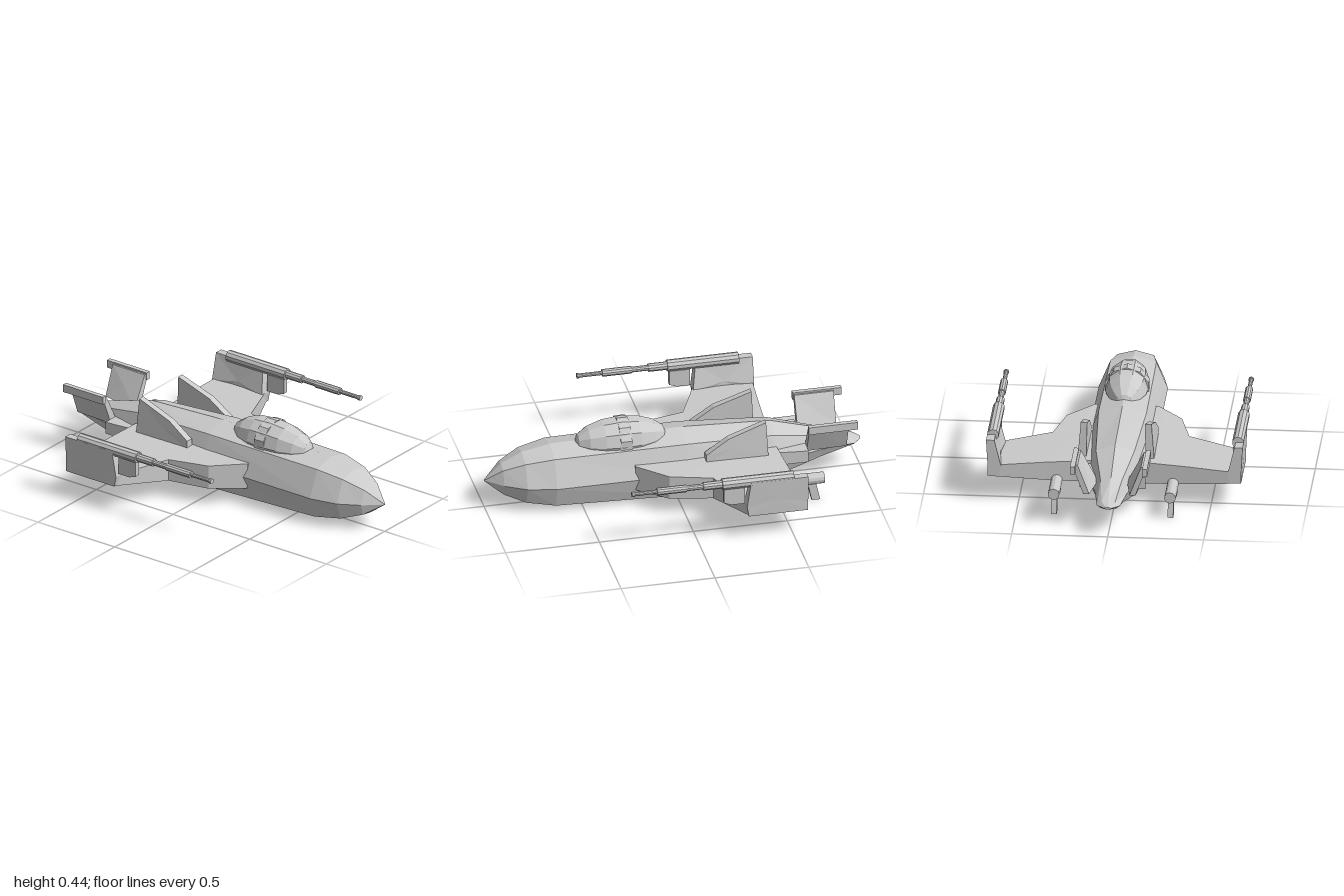
import * as THREE from 'three';

const material = new THREE.MeshStandardMaterial({
  color: 0xcccccc, flatShading: true, side: THREE.DoubleSide });

// Skin a row of equal-length rings of [x, y, z]; both ends are closed with a fan.
function loft(rings) {
  const tris = [];
  const n = rings[0].length;
  for (let r = 0; r < rings.length - 1; r++) {
    for (let i = 0; i < n; i++) {
      const j = (i + 1) % n;
      const a = rings[r][i], b = rings[r][j], c = rings[r + 1][j], d = rings[r + 1][i];
      tris.push([a, b, c], [a, c, d]);
    }
  }
  [rings[0], rings[rings.length - 1]].forEach((ring, end) => {
    const mid = [0, 1, 2].map((k) => ring.reduce((s, p) => s + p[k], 0) / n);
    for (let i = 0; i < n; i++) {
      const a = ring[i], b = ring[(i + 1) % n];
      tris.push(end ? [mid, a, b] : [mid, b, a]);
    }
  });
  // Turn all faces outward, judged by the signed volume
  let volume = 0;
  for (const [a, b, c] of tris) {
    volume += new THREE.Vector3(...a).dot(
      new THREE.Vector3(...b).cross(new THREE.Vector3(...c)));
  }
  if (volume < 0) tris.forEach((t) => t.reverse());
  const geometry = new THREE.BufferGeometry();
  geometry.setAttribute('position', new THREE.Float32BufferAttribute(tris.flat(2), 3));
  geometry.computeVertexNormals();
  return geometry;
}

// Horizontal slab from corners [x, z, topY, bottomY]
const slab = (corners, side) => loft([
  corners.map(([x, z, top]) => [x * side, top, z]),
  corners.map(([x, z, , bottom]) => [x * side, bottom, z]),
]);

// Upright plate from corners [z, y, innerX, outerX]
const plate = (corners, side) => loft([
  corners.map(([z, y, inner]) => [inner * side, y, z]),
  corners.map(([z, y, , outer]) => [outer * side, y, z]),
]);

export function createModel() {
  const model = new THREE.Group();
  model.name = 'starfighter';

  function add(name, geometry, x = 0, y = 0, z = 0, parent = model) {
    const mesh = new THREE.Mesh(geometry, material);
    mesh.name = name;
    mesh.position.set(x, y, z);
    parent.add(mesh);
    return mesh;
  }

  // Cylinder along z between two stations
  function rod(name, x, y, z0, z1, radius, parent, sides = 10) {
    const geometry = new THREE.CylinderGeometry(radius, radius, z1 - z0, sides);
    geometry.rotateX(Math.PI / 2);
    return add(name, geometry, x, y, (z0 + z1) / 2, parent);
  }

  // Fuselage stations: z, top, shoulder x/y, side x/y, chine x/y, keel
  const stations = [
    [1, 0.163, 0.003, 0.162, 0.003, 0.16, 0.003, 0.158, 0.157],
    [0.91, 0.25, 0.055, 0.235, 0.085, 0.16, 0.065, 0.1, 0.09],
    [0.8, 0.305, 0.095, 0.28, 0.148, 0.16, 0.115, 0.065, 0.055],
    [0.65, 0.335, 0.12, 0.305, 0.18, 0.16, 0.145, 0.045, 0.035],
    [-0.05, 0.347, 0.125, 0.31, 0.18, 0.16, 0.145, 0.02, 0.005],
    [-0.52, 0.325, 0.1, 0.29, 0.155, 0.16, 0.11, 0.05, 0.04],
    [-0.78, 0.25, 0.055, 0.23, 0.085, 0.165, 0.06, 0.11, 0.1],
    [-0.96, 0.19, 0.035, 0.185, 0.06, 0.165, 0.04, 0.15, 0.145],
    [-1, 0.172, 0.01, 0.17, 0.015, 0.165, 0.01, 0.16, 0.158],
  ];
  add('fuselage', loft(stations.map(([z, top, ux, uy, sx, sy, lx, ly, keel]) => [
    [0, top, z], [ux, uy, z], [sx, sy, z], [lx, ly, z],
    [0, keel, z], [-lx, ly, z], [-sx, sy, z], [-ux, uy, z],
  ])));

  // Canopy bubble and its frame band
  const bubble = new THREE.SphereGeometry(1, 10, 8);
  bubble.rotateX(Math.PI / 2);
  bubble.scale(0.115, 0.115, 0.245);
  add('canopy', bubble, 0, 0.325, 0.275);
  const band = new THREE.CylinderGeometry(0.119, 0.119, 0.06, 10);
  band.rotateX(Math.PI / 2);
  add('canopyFrame', band, 0, 0.322, 0.265);

  for (const side of [1, -1]) {
    const half = new THREE.Group();
    half.name = side > 0 ? 'leftSide' : 'rightSide';
    model.add(half);

    // Wing: thick root strake, then tapering outer panel
    add('wingRoot', slab([
      [0.12, 0.23, 0.235, 0.095], [0.165, 0.23, 0.235, 0.095],
      [0.3, 0.08, 0.23, 0.1], [0.355, -0.14, 0.225, 0.105],
      [0.355, -0.547, 0.225, 0.125], [0.12, -0.53, 0.235, 0.115],
    ], side), 0, 0, 0, half);
    add('wingPanel', slab([
      [0.355, -0.14, 0.225, 0.105], [0.66, -0.27, 0.208, 0.15],
      [0.66, -0.575, 0.208, 0.15], [0.355, -0.547, 0.225, 0.125],
    ], side), 0, 0, 0, half);

    // Upright wingtip with a sloping inner face
    add('wingtip', plate([
      [-0.26, 0.15, 0.6, 0.66], [-0.25, 0.205, 0.59, 0.66],
      [-0.27, 0.35, 0.625, 0.668], [-0.575, 0.35, 0.625, 0.668],
      [-0.575, 0.205, 0.59, 0.66], [-0.575, 0.15, 0.6, 0.66],
    ], side), 0, 0, 0, half);

    // Stepped cannon on the wingtip: start z, end z, radius
    const cannon = new THREE.Group();
    cannon.name = 'cannon';
    half.add(cannon);
    for (const [z0, z1, radius] of [
      [-0.5, -0.12, 0.031], [-0.12, -0.02, 0.022], [-0.02, 0.07, 0.015],
      [0.07, 0.225, 0.02], [0.225, 0.345, 0.011], [0.345, 0.36, 0.014],
    ]) rod('cannonSection', 0.638 * side, 0.348, z0, z1, radius, cannon);
    add('cannonBracket', plate([
      [-0.13, 0.32, 0.622, 0.65], [-0.13, 0.24, 0.622, 0.65],
      [-0.17, 0.225, 0.622, 0.65], [-0.24, 0.225, 0.622, 0.65],
      [-0.24, 0.32, 0.622, 0.65],
    ], side), 0, 0, 0, cannon);

    // Tube under the wing with two hanging struts
    rod('underwingTube', 0.303 * side, 0.125, -0.74, -0.32, 0.03, half, 12);
    for (const [z, bottom, rake] of [[-0.47, 0.03, 0], [-0.67, 0.005, 0.025]]) {
      add('underwingStrut', plate([
        [z + 0.022, 0.12, 0.289, 0.318], [z - 0.022, 0.12, 0.289, 0.318],
        [z - 0.022 - rake, bottom, 0.289, 0.318], [z + 0.022 - rake, bottom, 0.289, 0.318],
      ], side), 0, 0, 0, half);
    }

    // Swept dorsal fin beside the fuselage
    add('dorsalFin', plate([
      [-0.14, 0.22, 0.155, 0.195], [-0.14, 0.27, 0.155, 0.195],
      [-0.26, 0.35, 0.153, 0.19], [-0.46, 0.42, 0.15, 0.184],
      [-0.47, 0.22, 0.155, 0.2],
    ], side), 0, 0, 0, half);

    // Shelf behind the wing root that carries the tail fin
    add('tailShelf', slab([
      [0.06, -0.45, 0.22, 0.14], [0.155, -0.45, 0.22, 0.14],
      [0.172, -0.69, 0.215, 0.15], [0.06, -0.69, 0.215, 0.15],
    ], side), 0, 0, 0, half);

    // Outward-leaning tail fin with a bar along its top
    add('tailFin', plate([
      [-0.69, 0.19, 0.075, 0.125], [-0.69, 0.36, 0.165, 0.195],
      [-0.9, 0.36, 0.165, 0.195], [-0.9, 0.2, 0.105, 0.135],
    ], side), 0, 0, 0, half);
    add('tailFinBar', new THREE.BoxGeometry(0.026, 0.042, 0.26),
      0.188 * side, 0.348, -0.815, half);
  }
  return model;
}
